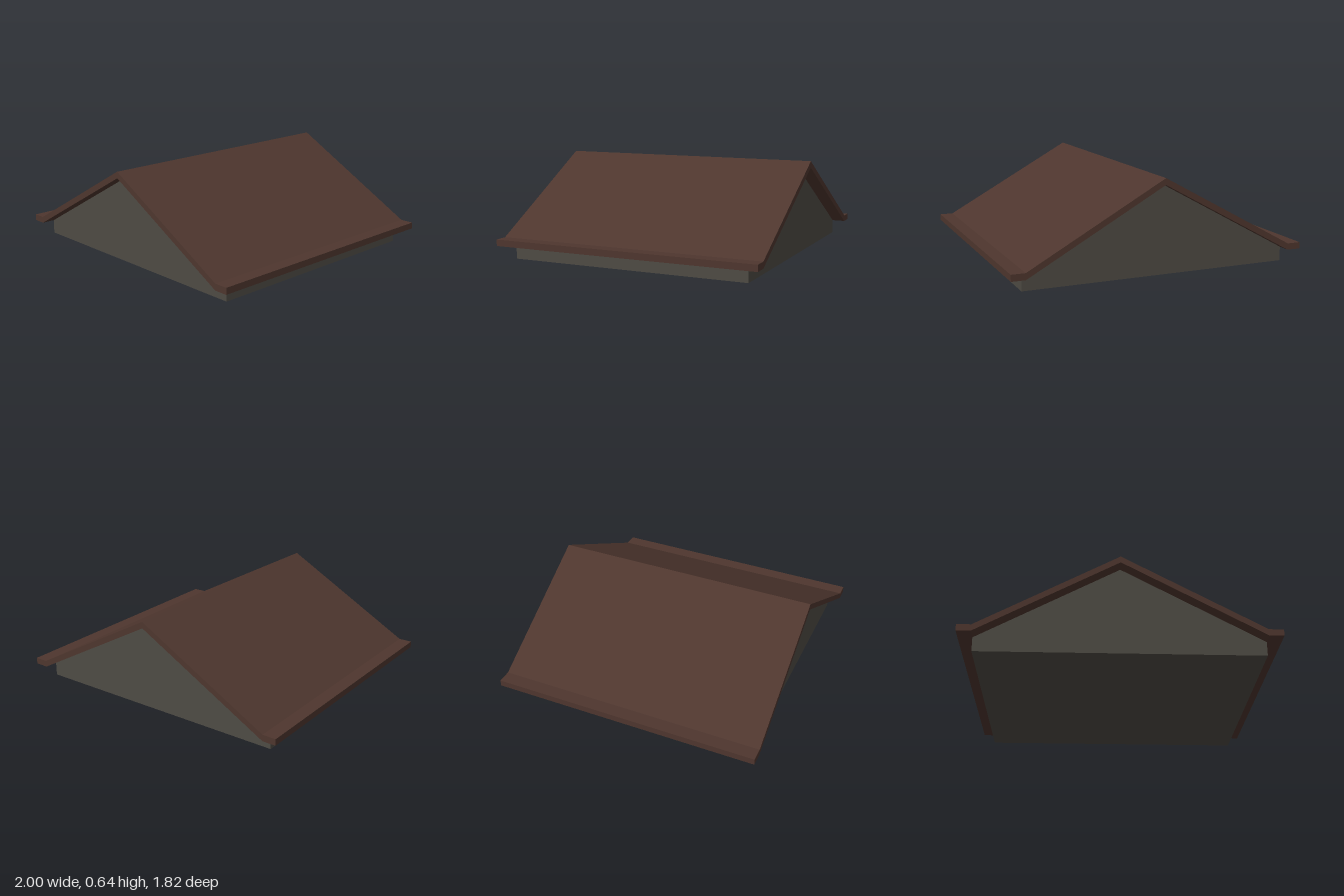
import * as THREE from 'three';

const roofBrown = new THREE.MeshStandardMaterial({ name: 'roofBrown', color: 0x4e362e });
const wallGrey = new THREE.MeshStandardMaterial({ name: 'wallGrey', color: 0x4e4b44 });

// Extrudes an x/y outline along z, centred on z = 0
function prism(name, points, depth, material) {
  const shape = new THREE.Shape(points.map(([x, y]) => new THREE.Vector2(x, y)));
  const geometry = new THREE.ExtrudeGeometry(shape, { depth, bevelEnabled: false });
  geometry.translate(0, 0, -depth / 2);
  const mesh = new THREE.Mesh(geometry, material);
  mesh.name = name;
  return mesh;
}

export function createModel() {
  const group = new THREE.Group();
  group.name = 'gableRoof';

  const wallX = 0.908, eaveY = 0.094, ridgeY = 0.594, thickness = 0.043;

  // Gabled body below the roof
  group.add(prism('gableBody', [
    [-wallX, 0], [wallX, 0], [wallX, eaveY], [0, ridgeY], [-wallX, eaveY],
  ], 1.635, wallGrey));

  // Roof sheet with flat eaves: lower line left to right, then the same line raised
  const underside = [[-1, eaveY], [-wallX, eaveY], [0, ridgeY], [wallX, eaveY], [1, eaveY]];
  const topside = underside.map(([x, y]) => [x, y + thickness]).reverse();
  group.add(prism('roof', [...underside, ...topside], 1.816, roofBrown));

  return group;
}
